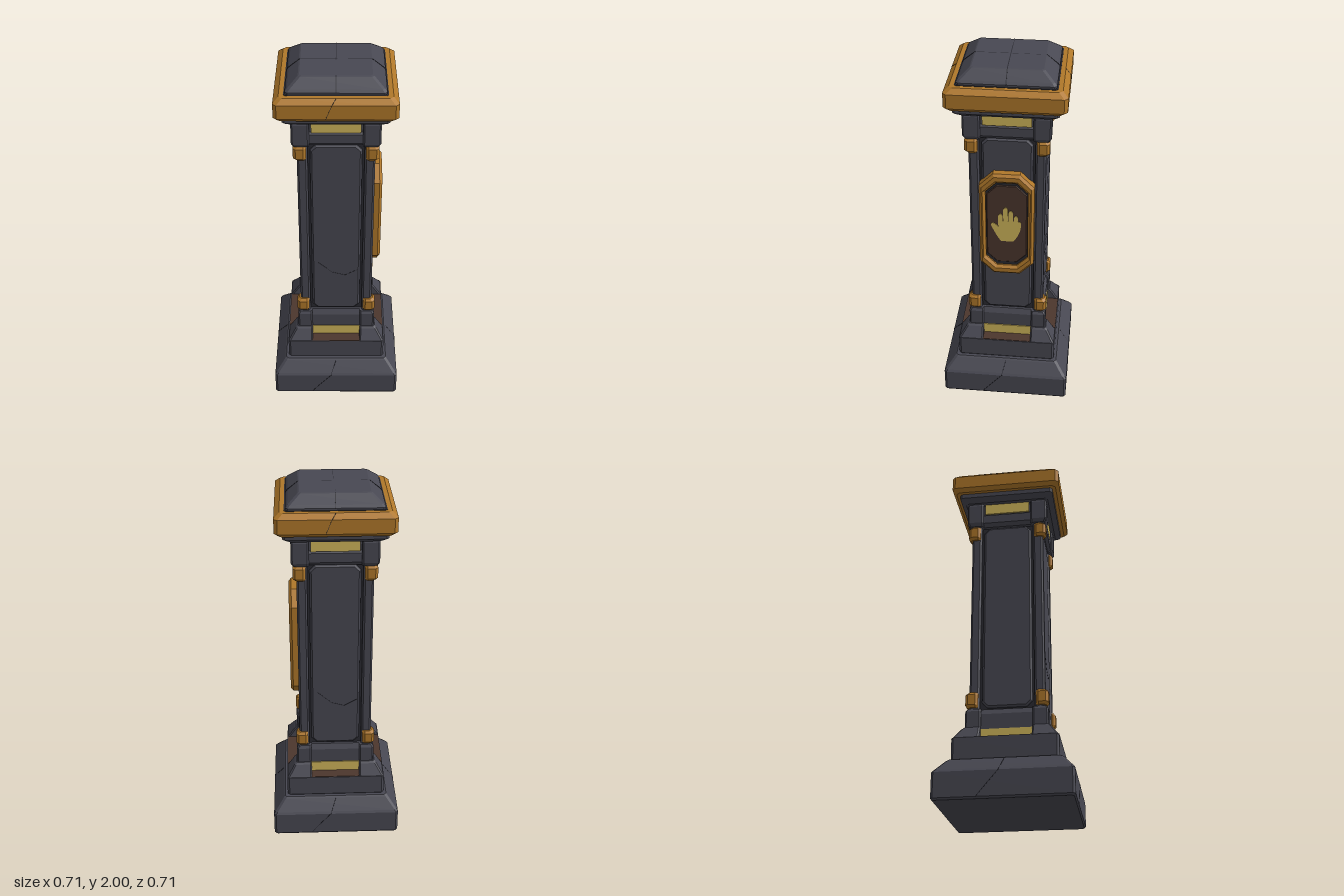
import * as THREE from 'three';

const mat = (name, color) => {
  const m = new THREE.MeshStandardMaterial({ color });
  m.name = name;
  return m;
};

export function createModel() {
  const stone = mat('stone', 0x484852);
  const groove = mat('groove', 0x2a2a31);
  const bronze = mat('bronze', 0xb0782a);
  const gold = mat('paleGold', 0xd2b85c);
  const brown = mat('brown', 0x4c362d);

  const pillar = new THREE.Group();
  pillar.name = 'pillar';

  const add = (name, geo, material, parent = pillar) => {
    const m = new THREE.Mesh(geo, material);
    m.name = name;
    parent.add(m);
    return m;
  };

  // Stacked rectangles [x0, x1, z0, z1, y] with corners cut by c, faceted
  function loft(sections, c) {
    const rings = sections.map(([x0, x1, z0, z1, y]) => [
      [x1, z0 + c], [x1, z1 - c], [x1 - c, z1], [x0 + c, z1],
      [x0, z1 - c], [x0, z0 + c], [x0 + c, z0], [x1 - c, z0],
    ].map(([x, z]) => [x, y, z]));
    const pos = [];
    const tri = (...p) => p.forEach(v => pos.push(...v));
    const last = rings[rings.length - 1];
    for (let i = 0; i < 8; i++) {
      const j = (i + 1) % 8;
      for (let k = 0; k + 1 < rings.length; k++) {
        const a = rings[k], b = rings[k + 1];
        tri(a[i], b[i], b[j]);
        tri(a[i], b[j], a[j]);
      }
      if (i > 0 && i < 7) {
        tri(rings[0][0], rings[0][i], rings[0][j]);
        tri(last[0], last[j], last[i]);
      }
    }
    const g = new THREE.BufferGeometry();
    g.setAttribute('position', new THREE.Float32BufferAttribute(pos, 3));
    g.computeVertexNormals();
    return g;
  }
  const tier = (profile, c = 0.012) => loft(profile.map(([h, y]) => [-h, h, -h, h, y]), c);
  const corner = (inner, profile, c = 0.008) => loft(profile.map(([h, y]) => [inner, h, inner, h, y]), c);

  // Rectangle with cut corners
  function octagon(w, y0, y1, c, Type = THREE.Shape) {
    return new Type([
      [w - c, y0], [w, y0 + c], [w, y1 - c], [w - c, y1],
      [c - w, y1], [-w, y1 - c], [-w, y0 + c], [c - w, y0],
    ].map(p => new THREE.Vector2(...p)));
  }
  // Bevelled plate between two depths, facing +z
  function plate(shape, back, front, bevel) {
    const g = new THREE.ExtrudeGeometry(shape, {
      depth: front - back - bevel, bevelEnabled: bevel > 0, bevelSize: bevel,
      bevelOffset: -bevel, bevelThickness: bevel, bevelSegments: 1, curveSegments: 8,
    });
    return g.translate(0, 0, back);
  }

  // Stepped foot
  add('footStep', tier([[0.347, 0], [0.355, 0.01], [0.355, 0.14], [0.347, 0.152], [0.298, 0.212], [0.29, 0.22]]), stone);
  add('upperStep', tier([[0.268, 0.215], [0.275, 0.225], [0.275, 0.34]]), stone);

  // Core behind the trim, shaft and collar
  add('lowerCore', tier([[0.205, 0.33], [0.205, 0.485], [0.19, 0.515]]), stone);
  add('shaftCore', tier([[0.176, 0.5], [0.176, 1.64]]), groove);
  add('collarCore', tier([[0.195, 1.62], [0.212, 1.64], [0.212, 1.69], [0.2, 1.7], [0.2, 1.78]]), stone);

  // Crown
  add('cornice', tier([[0.235, 1.762], [0.265, 1.785], [0.265, 1.82]]), stone);
  add('crownSlab', tier([[0.285, 1.81], [0.305, 1.83], [0.305, 1.905], [0.277, 1.93]], 0.018), bronze);
  add('capGroove', tier([[0.254, 1.925], [0.254, 1.932]]), groove);
  add('cap', tier([[0.247, 1.93], [0.247, 1.942], [0.236, 1.955], [0.185, 1.997], [0.178, 2]]), stone);

  // Hand emblem outline
  function handShape() {
    const s = new THREE.Shape();
    s.moveTo(-0.03, 1.01);
    s.quadraticCurveTo(-0.06, 1.05, -0.085, 1.115);
    s.quadraticCurveTo(-0.08, 1.135, -0.062, 1.12);
    s.lineTo(-0.045, 1.105);
    // Four fingers: left edge, right edge, tip height
    [[-0.045, -0.022, 1.185], [-0.018, 0.006, 1.225], [0.01, 0.033, 1.205], [0.038, 0.06, 1.175]].forEach(([l, r, t]) => {
      s.lineTo(l, 1.14);
      s.lineTo(l, t - 0.012);
      s.quadraticCurveTo((l + r) / 2, t + 0.012, r, t - 0.012);
      s.lineTo(r, 1.14);
    });
    s.lineTo(0.076, 1.135);
    s.quadraticCurveTo(0.082, 1.07, 0.035, 1.01);
    return s;
  }

  // Parts repeated on every side and corner
  for (let k = 0; k < 4; k++) {
    const side = new THREE.Group();
    side.name = ['front', 'left', 'back', 'right'][k] + 'Side';
    side.rotation.y = k * Math.PI / 2;
    pillar.add(side);

    add('shaftPanel', plate(octagon(0.133, 0.525, 1.615, 0.03), 0.17, 0.193, 0.01), stone, side);
    add('lowerTrim', new THREE.BoxGeometry(0.27, 0.06, 0.008), gold, side).position.set(0, 0.372, 0.206);
    add('trimLedge', new THREE.BoxGeometry(0.27, 0.006, 0.063), brown, side).position.set(0, 0.34, 0.24);
    add('upperTrim', new THREE.BoxGeometry(0.25, 0.066, 0.008), gold, side).position.set(0, 1.733, 0.207);

    add('stepCorner', corner(0.135, [[0.275, 0.335], [0.268, 0.345], [0.232, 0.4], [0.222, 0.41]]), stone, side);
    add('plinthCorner', corner(0.135, [[0.217, 0.4], [0.217, 0.5], [0.208, 0.515]]), stone, side);
    add('cornerPost', corner(0.145, [[0.2, 0.51], [0.2, 1.64]], 0.01), stone, side);
    add('collarCorner', corner(0.135, [[0.215, 1.62], [0.226, 1.64], [0.226, 1.75], [0.218, 1.77]]), stone, side);
    for (const y of [0.565, 1.577]) {
      add('cornerClasp', corner(0.152, [[0.208, y - 0.042], [0.219, y - 0.028], [0.219, y + 0.028], [0.208, y + 0.042]], 0.014), bronze, side);
    }

    // Plaque on the left side only
    if (k === 1) {
      const frame = octagon(0.146, 0.797, 1.43, 0.075);
      frame.holes.push(octagon(0.112, 0.85, 1.377, 0.058, THREE.Path));
      add('plaqueFrame', plate(frame, 0.185, 0.243, 0.014), bronze, side);
      add('plaqueRim', plate(octagon(0.128, 0.84, 1.39, 0.06), 0.185, 0.22, 0), groove, side);
      add('plaquePanel', plate(octagon(0.108, 0.87, 1.358, 0.055), 0.2, 0.226, 0.004), brown, side);
      add('handEmblem', plate(handShape(), 0.225, 0.23, 0), gold, side);
    }
  }

  // Hairline seams and cracks following the surface
  function crack(name, points, width = 0.004) {
    for (let i = 0; i + 1 < points.length; i++) {
      const a = new THREE.Vector3(...points[i]), b = new THREE.Vector3(...points[i + 1]);
      const m = add(name, new THREE.BoxGeometry(width, width, a.distanceTo(b)), groove);
      m.position.copy(a).lerp(b, 0.5);
      m.lookAt(b);
    }
  }
  const seam = [[-0.247, 1.942], [-0.236, 1.955], [-0.182, 1.998], [0.182, 1.998], [0.236, 1.955], [0.247, 1.942]];
  crack('capSeam', seam.map(([x, y]) => [x, y, 0]));
  crack('capSeam', seam.map(([z, y]) => [0, y, z]));
  for (const s of [1, -1]) {
    crack('footCrack', [[-0.14 * s, 0.01, 0.355 * s], [-0.1 * s, 0.06, 0.355 * s], [-0.03 * s, 0.14, 0.355 * s], [0, 0.212, 0.298 * s]], 0.003);
    crack('footCrack', [[0.355 * s, 0.01, 0.13 * s], [0.355 * s, 0.07, 0.08 * s], [0.355 * s, 0.14, 0.02 * s], [0.298 * s, 0.212, 0]], 0.003);
    crack('panelCrack', [[-0.1 * s, 0.86, 0.193 * s], [-0.02 * s, 0.79, 0.193 * s], [0.05 * s, 0.77, 0.193 * s], [0.12 * s, 0.81, 0.193 * s]], 0.002);
    crack('slabCrack', [[-0.05 * s, 1.83, 0.305 * s], [-0.02 * s, 1.905, 0.305 * s], [0, 1.93, 0.277 * s]], 0.002);
  }

  return pillar;
}
